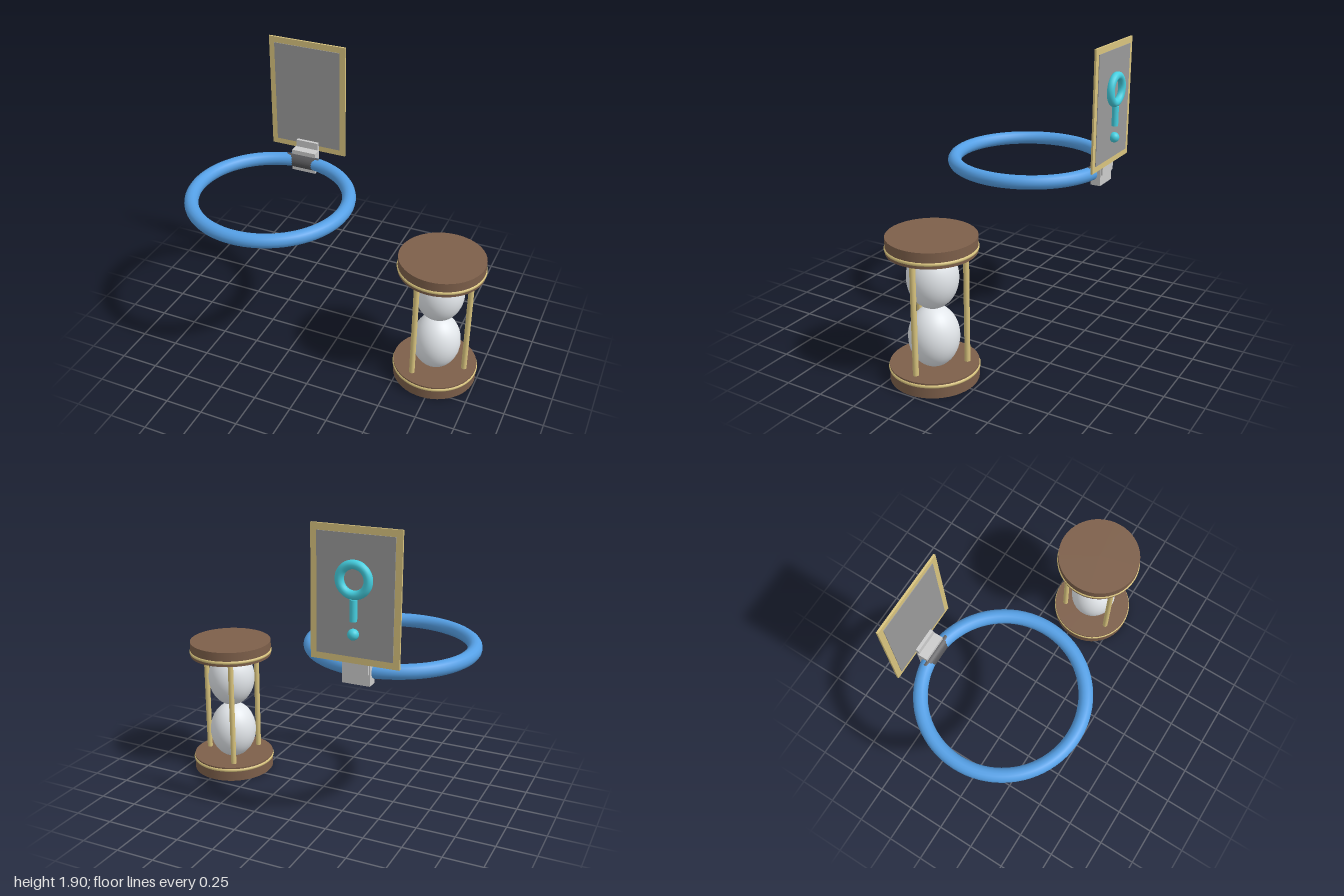
import * as THREE from 'three';

const mat = (color) => new THREE.MeshStandardMaterial({ color });

export function createModel() {
  const root = new THREE.Group();
  const wood = mat(0x7d5f4a), gold = mat(0xd9c47e), glass = mat(0xe2e6ea);
  const blue = mat(0x55a0e6), cyan = mat(0x45cfe0);
  const grey = mat(0xcccccc), panelGrey = mat(0x999999), dark = mat(0x555558);

  const add = (parent, name, geometry, material, x, y, z) => {
    const mesh = new THREE.Mesh(geometry, material);
    mesh.name = name;
    mesh.position.set(x, y, z);
    parent.add(mesh);
    return mesh;
  };

  // Hourglass
  const hourglass = new THREE.Group();
  hourglass.name = 'hourglass';
  hourglass.position.set(0.72, 0, 0.045);
  root.add(hourglass);
  const plate = new THREE.CylinderGeometry(0.272, 0.272, 0.097, 48);
  const trim = new THREE.TorusGeometry(0.265, 0.013, 10, 64).rotateX(Math.PI / 2);
  const bulb = new THREE.SphereGeometry(0.157, 32, 24).scale(1, 1.25, 1);
  for (const [side, plateY, trimY, bulbY] of [
    ['lower', 0.0485, 0.077, 0.27], ['upper', 0.8715, 0.85, 0.655],
  ]) {
    add(hourglass, side + 'Plate', plate, wood, 0, plateY, 0);
    add(hourglass, side + 'Trim', trim, gold, 0, trimY, 0);
    add(hourglass, side + 'Bulb', bulb, glass, 0, bulbY, 0);
  }
  const post = new THREE.CylinderGeometry(0.018, 0.018, 0.75, 16);
  for (let i = 0; i < 3; i++) {
    const a = (i * Math.PI * 2) / 3;
    add(hourglass, 'post', post, gold, 0.198 * Math.cos(a), 0.46, 0.198 * Math.sin(a));
  }

  // Hoop
  const hoop = new THREE.TorusGeometry(0.505, 0.045, 16, 80).rotateX(Math.PI / 2);
  add(root, 'hoop', hoop, blue, -0.45, 1.065, 0.045);

  // Clip gripping the back of the hoop
  const clip = new THREE.Group();
  clip.name = 'clip';
  clip.position.x = -0.45;
  root.add(clip);
  add(clip, 'clipBlock', new THREE.BoxGeometry(0.172, 0.152, 0.068), grey, 0, 1.066, -0.485);
  add(clip, 'clipTab', new THREE.BoxGeometry(0.158, 0.13, 0.022), grey, 0, 1.127, -0.52);
  const jawShape = new THREE.Shape();
  jawShape.absarc(0, 0, 0.047, -Math.PI / 2, Math.PI / 2, false);
  jawShape.closePath();
  const jaw = new THREE.ExtrudeGeometry(jawShape, { depth: 0.232, bevelEnabled: false, curveSegments: 16 });
  jaw.translate(0, 0, -0.116).rotateY(-Math.PI / 2);
  add(clip, 'clipJaw', jaw, dark, 0, 1.065, -0.457);

  // Framed card standing on the clip
  const card = new THREE.Group();
  card.name = 'card';
  card.position.set(-0.45, 1.515, -0.54);
  root.add(card);
  add(card, 'cardFrame', new THREE.BoxGeometry(0.542, 0.78, 0.013), gold, 0, 0, 0);
  add(card, 'cardPanel', new THREE.BoxGeometry(0.465, 0.7, 0.021), panelGrey, 0, 0, 0);

  // Raised symbol on the back of the card
  const symbol = new THREE.Group();
  symbol.name = 'symbol';
  symbol.position.set(-0.45, 0, -0.566);
  root.add(symbol);
  add(symbol, 'symbolLoop', new THREE.TorusGeometry(0.086, 0.026, 16, 48), cyan, 0, 1.613, 0);
  add(symbol, 'symbolStem', new THREE.CylinderGeometry(0.022, 0.022, 0.125, 20), cyan, 0, 1.441, 0);
  add(symbol, 'symbolDot', new THREE.SphereGeometry(0.033, 20, 14), cyan, 0, 1.302, 0);

  return root;
}
